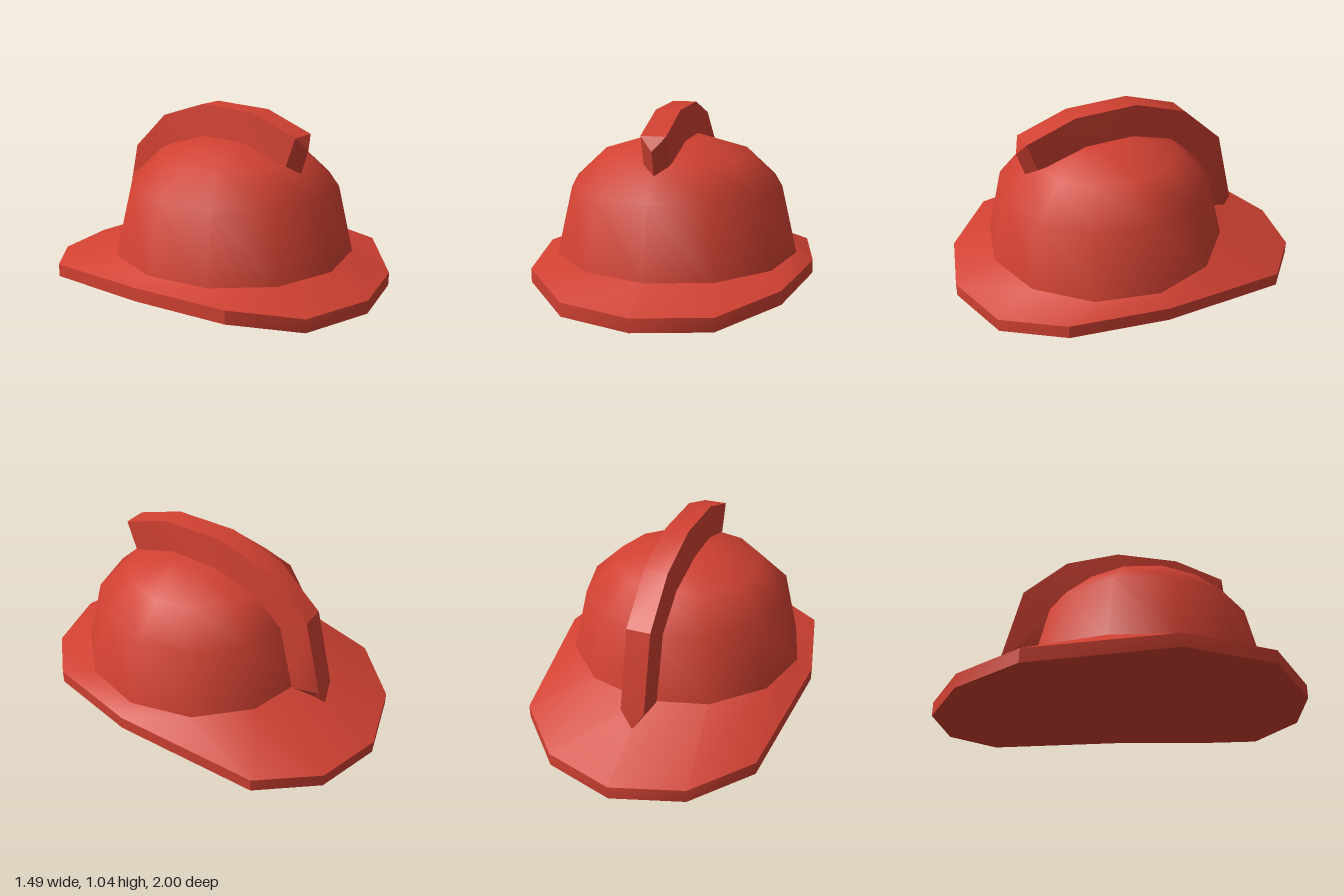
import * as THREE from 'three';
import { toCreasedNormals } from 'three/addons/utils/BufferGeometryUtils.js';

const helmetRed = new THREE.MeshStandardMaterial({ color: 0xd14132 });
helmetRed.name = 'helmet red';

// Skins a list of closed rings of [x, y, z] points, leaving out collapsed triangles.
function loft(rings, crease) {
  const pos = [];
  const same = (p, q) => p.every((v, k) => Math.abs(v - q[k]) < 1e-6);
  const tri = (a, b, c) => {
    if (!same(a, b) && !same(b, c) && !same(a, c)) pos.push(...a, ...b, ...c);
  };
  for (let i = 0; i < rings.length - 1; i++) {
    const n = rings[i].length;
    for (let j = 0; j < n; j++) {
      const k = (j + 1) % n;
      tri(rings[i][j], rings[i][k], rings[i + 1][k]);
      tri(rings[i][j], rings[i + 1][k], rings[i + 1][j]);
    }
  }
  const g = new THREE.BufferGeometry();
  g.setAttribute('position', new THREE.Float32BufferAttribute(pos, 3));
  return toCreasedNormals(g, crease);
}

function addPart(group, name, geometry) {
  const mesh = new THREE.Mesh(geometry, helmetRed);
  mesh.name = name;
  group.add(mesh);
  return mesh;
}

export function createModel() {
  const helmet = new THREE.Group();
  helmet.name = 'fireHelmet';
  const domeZ = 0.12, domeR = 0.657, domeY = 0.28;

  // Twelve-sided dome
  const profile = [[domeR, domeY], [0.571, 0.64], [0.4, 0.8], [0.16, 0.877], [0, 0.88]]
    .map(([r, y]) => new THREE.Vector2(r, y));
  addPart(helmet, 'dome', new THREE.LatheGeometry(profile, 12)).position.z = domeZ;

  // Brim: half outline [x, underside y, z] from front to back, mirrored to the other side
  const half = [
    [0, 0.12, 1], [0.375, 0.12, 0.897], [0.645, 0.175, 0.625], [0.745, 0.17, 0.115],
    [0.645, 0.06, -0.63], [0.375, 0.02, -0.9], [0, 0.004, -1],
  ];
  const under = [...half, ...half.slice(1, -1).reverse().map(([x, y, z]) => [-x, y, z])];
  const upper = under.map(([x, y, z]) => [x, y + 0.072, z]);
  const domeBase = under.map((_, i) => {
    const a = (i * Math.PI) / 6;
    return [Math.sin(a) * domeR, domeY, domeZ + Math.cos(a) * domeR];
  });
  const centre = under.map(() => [0, 0.17, 0.115]);
  addPart(helmet, 'brim', loft([centre, under, upper, domeBase], 0.55));

  // Crest sections: [outer z, outer y, inner z, inner y, outer half width, inner half width]
  const crest = [
    [0.61, 0.885, 0.57, 0.757, 0, 0],
    [0.575, 0.955, 0.52, 0.8, 0.064, 0.065],
    [0.3, 1.045, 0.26, 0.85, 0.064, 0.08],
    [-0.05, 1.045, -0.02, 0.85, 0.064, 0.085],
    [-0.345, 0.945, -0.25, 0.77, 0.064, 0.077],
    [-0.58, 0.73, -0.41, 0.6, 0.064, 0.07],
    [-0.685, 0.31, -0.51, 0.27, 0.064, 0.065],
    [-0.695, 0.205, -0.6, 0.2, 0, 0],
  ].map(([oz, oy, iz, iy, ow, iw]) => [[-ow, oy, oz], [ow, oy, oz], [iw, iy, iz], [-iw, iy, iz]]);
  addPart(helmet, 'crest', loft(crest, 0.55));

  return helmet;
}
